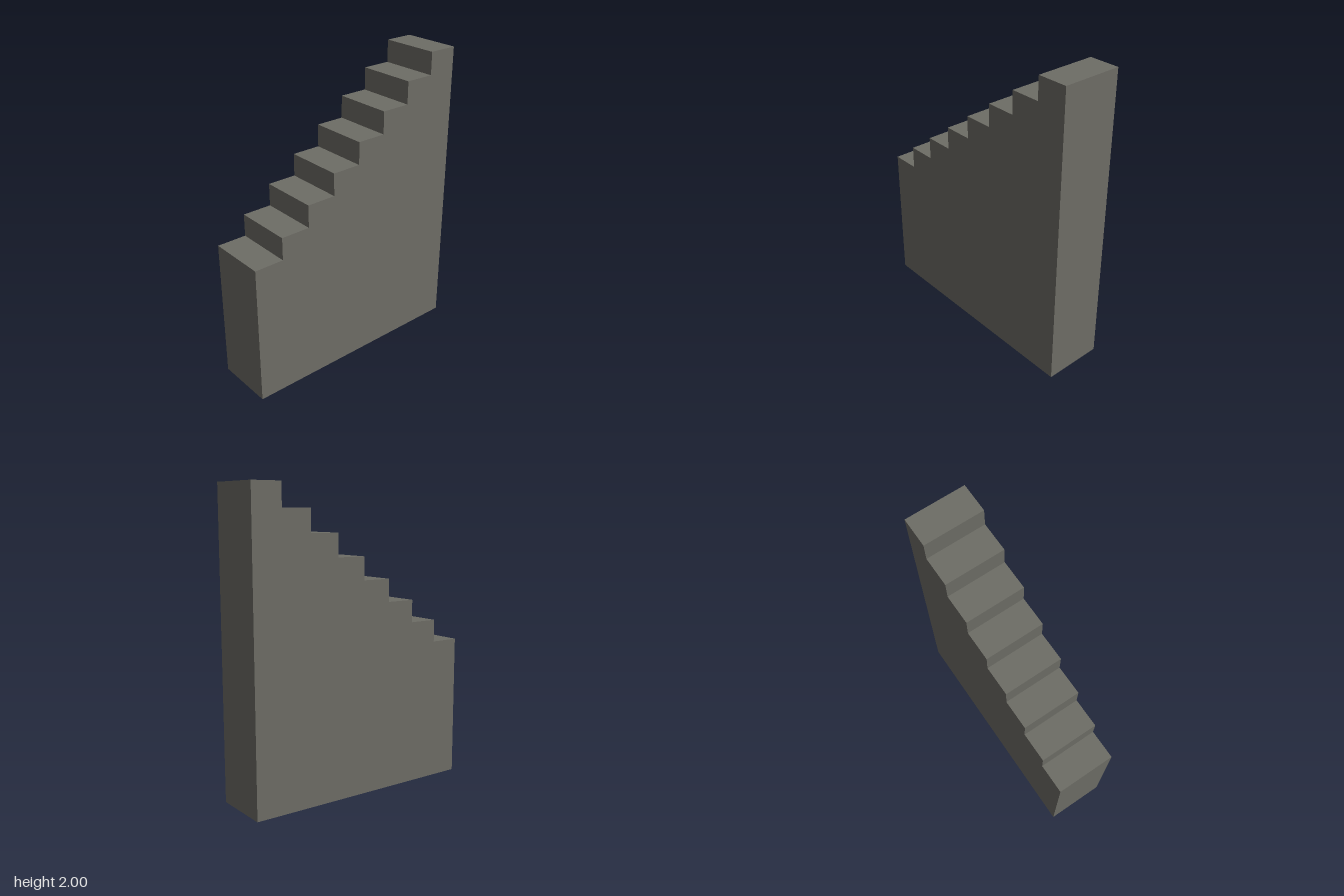
import * as THREE from 'three';

const STEPS = 8, RUN = 0.2, RISE = 0.15, FIRST = 0.95, WIDTH = 0.4;

export function createModel() {
  const group = new THREE.Group();
  group.name = 'staircase';

  const stone = new THREE.MeshStandardMaterial({ color: 0x6e6d66 });
  stone.name = 'grey stone';

  // Side profile: shape x is the model's z, lowest step at the front
  const front = (STEPS * RUN) / 2;
  const profile = new THREE.Shape();
  profile.moveTo(-front, 0);
  profile.lineTo(front, 0);
  for (let i = 0; i < STEPS; i++) {
    const y = FIRST + i * RISE;
    profile.lineTo(front - i * RUN, y); // riser
    profile.lineTo(front - (i + 1) * RUN, y); // tread
  }
  profile.closePath();

  // Extrude across the width and turn the profile to face +z
  const geometry = new THREE.ExtrudeGeometry(profile, { depth: WIDTH, bevelEnabled: false });
  geometry.translate(0, 0, -WIDTH / 2);
  geometry.rotateY(-Math.PI / 2);

  const stairs = new THREE.Mesh(geometry, stone);
  stairs.name = 'solidSteps';
  group.add(stairs);
  return group;
}
